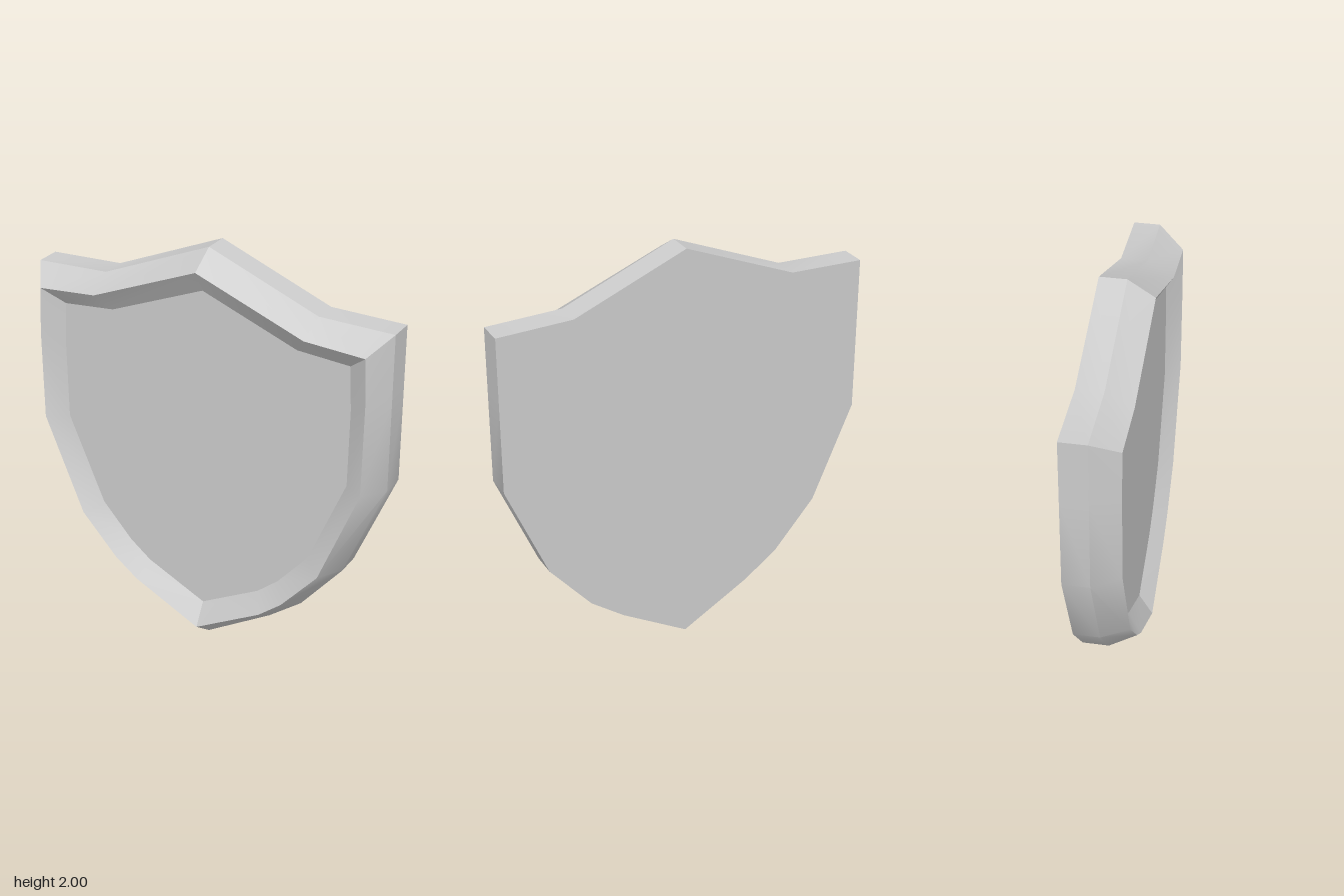
import * as THREE from 'three';
import { toCreasedNormals } from 'three/addons/utils/BufferGeometryUtils.js';

// Left half outlines, from the top peak round to the bottom tip
const OUTER = [[0, 2], [0.54, 1.78], [0.9, 1.77], [0.9, 1.47], [0.9, 1.02], [0.7, 0.55], [0.495, 0.31], [0.33, 0.19], [0, 0]];
const RIDGE = [[0, 1.92], [0.53, 1.71], [0.82, 1.69], [0.83, 1.47], [0.825, 1.03], [0.63, 0.555], [0.45, 0.355], [0.335, 0.265], [0, 0.09]];
const INNER = [[0, 1.815], [0.47, 1.63], [0.725, 1.61], [0.735, 1.4], [0.73, 1.03], [0.55, 0.605], [0.4, 0.435], [0.295, 0.35], [0, 0.2]];

const BACK_Z = -0.125, EDGE_Z = 0, RIDGE_Z = 0.125, PANEL_Z = 0.06;

// Mirror a half outline into a closed loop
function mirrorLoop(half) {
  const other = half.slice(1, -1).reverse().map(([x, y]) => [-x, y]);
  return [...half, ...other];
}

// Skin a series of outlines, each at its own depth
function skin(rings) {
  const positions = [];
  for (let r = 0; r < rings.length - 1; r++) {
    const a = mirrorLoop(rings[r].half), b = mirrorLoop(rings[r + 1].half);
    const n = a.length;
    for (let i = 0; i < n; i++) {
      const j = (i + 1) % n;
      const a0 = [...a[i], rings[r].z], a1 = [...a[j], rings[r].z];
      const b0 = [...b[i], rings[r + 1].z], b1 = [...b[j], rings[r + 1].z];
      // Mirror the diagonal so both halves match
      if (i < n / 2) positions.push(...a0, ...b0, ...b1, ...a0, ...b1, ...a1);
      else positions.push(...a0, ...b0, ...a1, ...b0, ...b1, ...a1);
    }
  }
  const geometry = new THREE.BufferGeometry();
  geometry.setAttribute('position', new THREE.Float32BufferAttribute(positions, 3));
  return toCreasedNormals(geometry, THREE.MathUtils.degToRad(28));
}

function flatFace(half) {
  const points = mirrorLoop(half).map(([x, y]) => new THREE.Vector2(x, y));
  return new THREE.ShapeGeometry(new THREE.Shape(points));
}

export function createModel() {
  const group = new THREE.Group();
  group.name = 'shield';
  const material = new THREE.MeshStandardMaterial({ color: 0xcccccc });

  const add = (name, geometry) => {
    const mesh = new THREE.Mesh(geometry, material);
    mesh.name = name;
    group.add(mesh);
    return mesh;
  };

  // Side wall, outer bevel and inner slope of the raised border
  add('rim', skin([
    { half: OUTER, z: BACK_Z },
    { half: OUTER, z: EDGE_Z },
    { half: RIDGE, z: RIDGE_Z },
    { half: INNER, z: PANEL_Z },
  ]));

  // Recessed front face
  add('frontPanel', flatFace(INNER)).position.z = PANEL_Z;

  // Flat back, turned to face the rear
  const back = add('backPanel', flatFace(OUTER));
  back.rotation.y = Math.PI;
  back.position.z = BACK_Z;

  return group;
}
